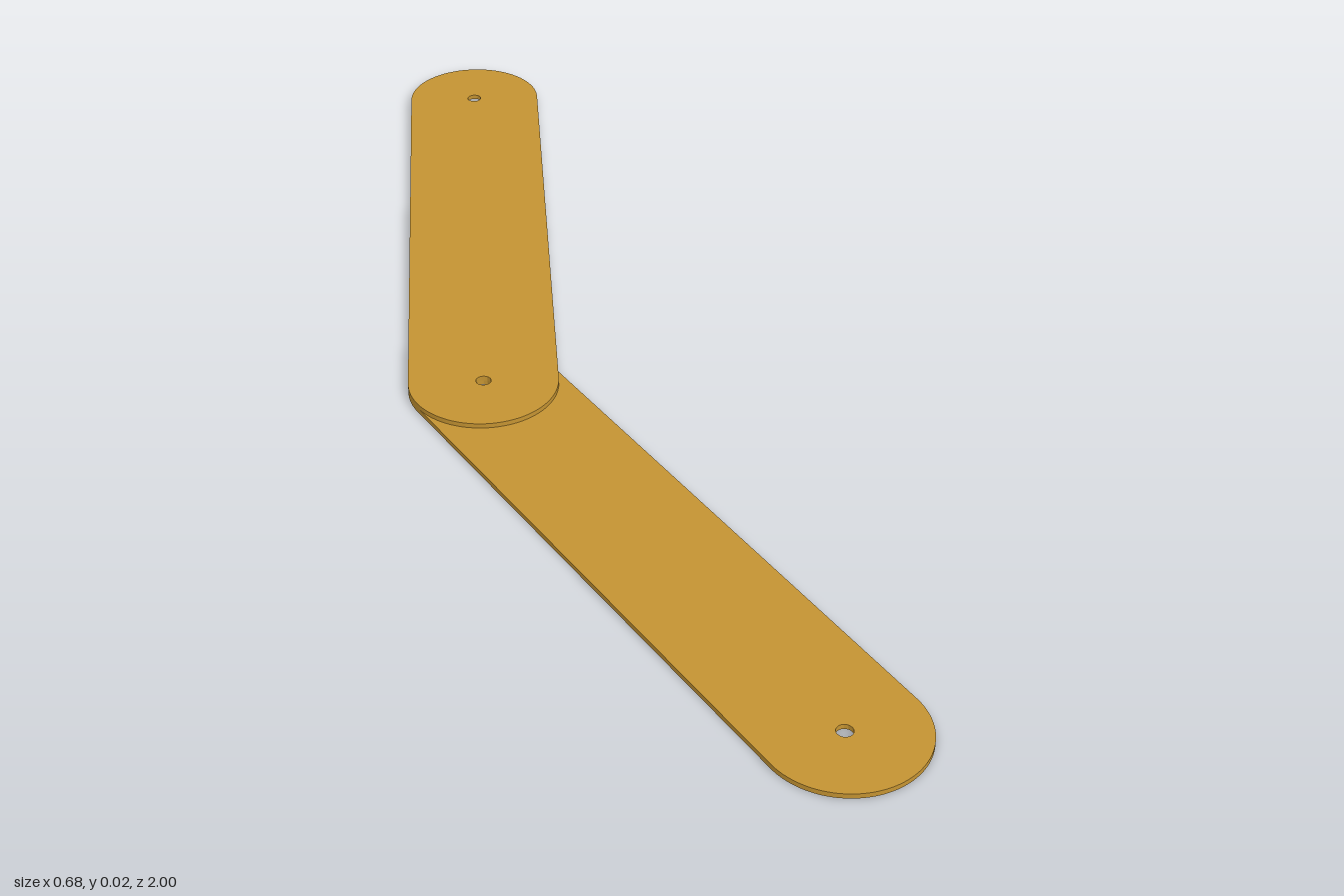
import * as THREE from 'three';
import { toCreasedNormals } from 'three/addons/utils/BufferGeometryUtils.js';

const RADIUS = 0.117;
const HOLE = 0.012;
const THICK = 0.0077;
const LENGTH = 0.94; // distance between hole centres

// Flat round-ended bar, lying in the ground plane from its pivot towards -z
function barGeometry() {
  const shape = new THREE.Shape();
  shape.absarc(0, LENGTH, RADIUS, 0, Math.PI, false);
  shape.absarc(0, 0, RADIUS, Math.PI, Math.PI * 2, false);
  shape.closePath();
  for (const y of [0, LENGTH]) {
    const hole = new THREE.Path();
    hole.absarc(0, y, HOLE, 0, Math.PI * 2, true);
    shape.holes.push(hole);
  }
  const geo = new THREE.ExtrudeGeometry(shape, { depth: THICK, bevelEnabled: false, curveSegments: 32 });
  geo.rotateX(-Math.PI / 2);
  return toCreasedNormals(geo, 0.6);
}

export function createModel() {
  const group = new THREE.Group();
  group.name = 'hingedLinkage';
  const material = new THREE.MeshStandardMaterial({ color: 0xc49332 });
  const geometry = barGeometry();

  // Both bars share one pivot; the upper one rests on the lower one
  const addBar = (name, y, angle) => {
    const bar = new THREE.Mesh(geometry, material);
    bar.name = name;
    bar.position.set(-0.226, y, 0.056);
    bar.rotation.y = angle;
    group.add(bar);
  };
  addBar('upperBar', THICK, 0);
  addBar('lowerBar', 0, Math.atan2(-0.452, -0.827));

  return group;
}
